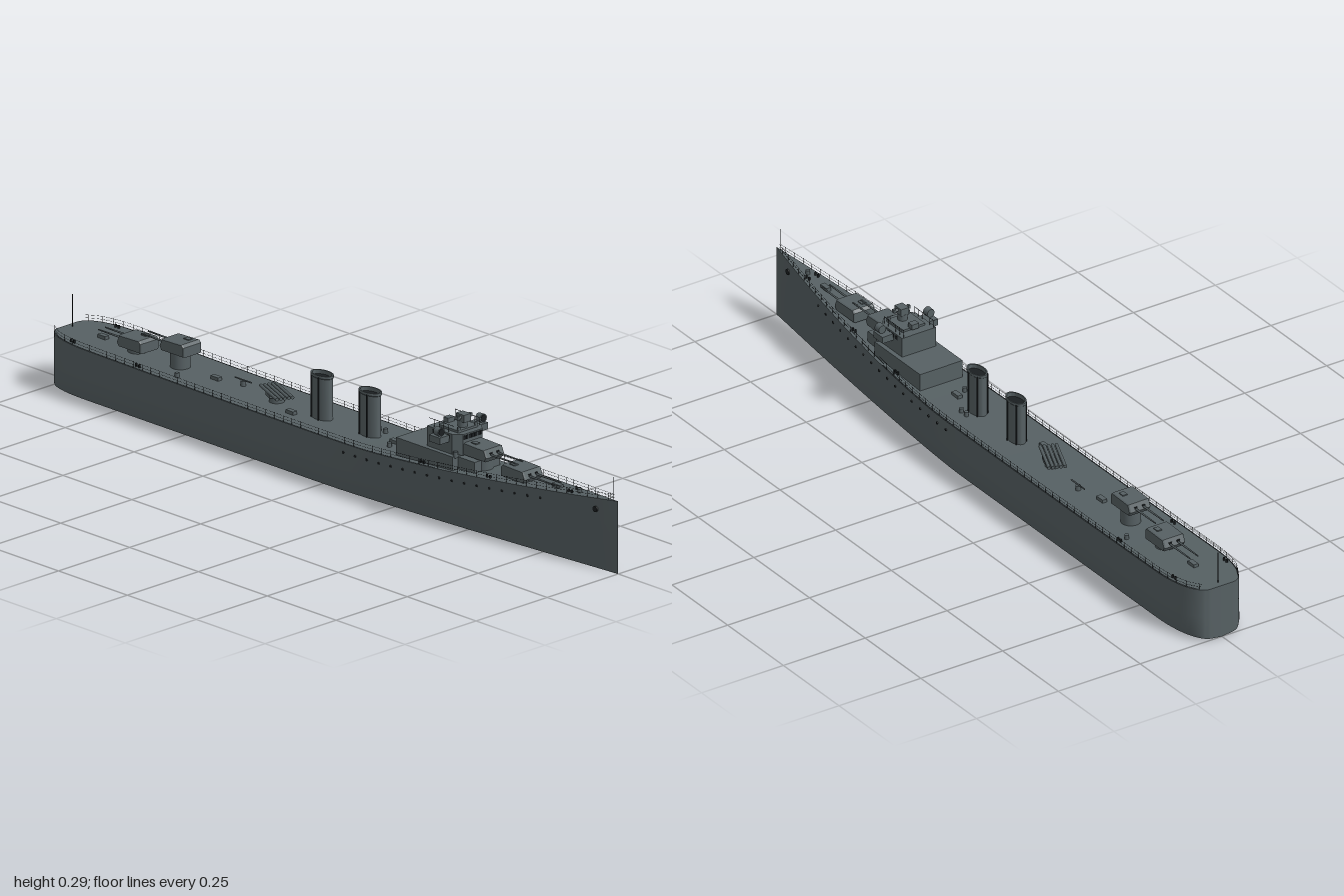
import * as THREE from 'three';
import { toCreasedNormals, mergeGeometries } from 'three/addons/utils/BufferGeometryUtils.js';

const mat = (name, color, side = THREE.FrontSide) => {
  const m = new THREE.MeshStandardMaterial({ color, side });
  m.name = name;
  return m;
};

// Deck height along the ship
const deckY = x => 0.14 + (x > 0.15 ? 0.055 * Math.pow((x - 0.15) / 0.85, 1.35) : 0.008 * Math.pow((0.15 - x) / 1.15, 2));

// Half breadth at x; level 0 is the bilge, 1 the deck
function breadth(x, level) {
  const full = 0.097 - 0.002 * level;
  if (x > 0.05) return full * (1 - Math.pow((x - 0.05) / 0.95, 1.3 + 0.5 * level));
  if (x < -0.83) {
    const t = Math.max(0, (-0.83 - x) / 0.17);
    return full * (0.36 + 0.64 * Math.sqrt(Math.max(0, 1 - Math.pow(t, 2.4))));
  }
  return full;
}

// Skin between cross-sections that all have the same number of points
function loft(sections, crease) {
  const n = sections[0].length, pos = [], idx = [];
  sections.forEach(s => s.forEach(p => pos.push(...p)));
  for (let i = 0; i < sections.length - 1; i++)
    for (let j = 0; j < n - 1; j++) {
      const a = i * n + j, b = a + n;
      idx.push(a, b, b + 1, a, b + 1, a + 1);
    }
  const g = new THREE.BufferGeometry();
  g.setAttribute('position', new THREE.Float32BufferAttribute(pos, 3));
  g.setIndex(idx);
  g.computeVertexNormals();
  return toCreasedNormals(g, crease);
}

export function createModel() {
  const ship = new THREE.Group();
  ship.name = 'warship';
  const grey = mat('hullGrey', 0x566063);
  const dark = mat('darkFittings', 0x1b1f21, THREE.DoubleSide);

  const add = (name, geo, material, x = 0, y = 0, z = 0, parent = ship) => {
    const m = new THREE.Mesh(geo, material);
    m.name = name;
    m.position.set(x, y, z);
    parent.add(m);
    return m;
  };
  const box = (name, w, h, d, x, y, z, material = grey, parent = ship) =>
    add(name, new THREE.BoxGeometry(w, h, d), material, x, y, z, parent);
  const post = (name, r, h, x, y, z, material = grey, parent = ship, sides = 16) =>
    add(name, new THREE.CylinderGeometry(r, r, h, sides), material, x, y + h / 2, z, parent);

  // Hull: stations packed towards the stern and bow
  const stations = [];
  for (let i = 0; i <= 72; i++) stations.push(-Math.cos(Math.PI * i / 72));
  const half = x => {
    const b = breadth(x, 0), d = deckY(x), k = 0.012 * b / 0.097;
    return [[0, 0], [b * 0.6, k * 0.6], [b * 0.96, k], [b, k + 0.01],
      [breadth(x, 0.3), 0.07], [breadth(x, 0.65), 0.105], [breadth(x, 1), d]];
  };
  const ring = x => {
    const h = half(x);
    return [...h.slice(1).reverse().map(([z, y]) => [x, y, -z]), ...h.map(([z, y]) => [x, y, z])];
  };
  const transom = ring(-1).map(([x, y]) => [x, y, 0]);
  add('hull', loft([transom, ...stations.map(ring)], 0.7), grey);
  add('deck', loft(stations.map(x => [1, 0, -1].map(s => [x, deckY(x), s * breadth(x, 1)])), 0.7), grey);

  // Deck edge gutters, railings and portholes on both sides
  const path = (s, a, b, up, n = 70) => new THREE.CatmullRomCurve3(Array.from({ length: n + 1 }, (_, i) => {
    const x = a + (b - a) * i / n;
    return new THREE.Vector3(x, deckY(x) + up, s * Math.max(0.001, breadth(x, 1) - 0.002));
  }));
  for (const s of [-1, 1]) {
    const edge = Array.from({ length: 50 }, (_, i) => -0.98 + i * 0.0284);
    add('gutter', loft(edge.map(x => {
      const b = breadth(x, 1);
      return [s * (b - (s > 0 ? 0 : 0.004)), s * (b - (s > 0 ? 0.004 : 0))].map(z => [x, deckY(x) + 0.0008, z]);
    }), 0.7), dark);
    const parts = [0.008, 0.016].map(up => new THREE.TubeGeometry(path(s, -0.99, 0.985, up), 140, 0.0004, 3));
    for (let x = -0.985; x < 0.99; x += 0.032)
      parts.push(new THREE.CylinderGeometry(0.0007, 0.0007, 0.017, 4)
        .translate(x, deckY(x) + 0.0085, s * Math.max(0.001, breadth(x, 1) - 0.002)));
    add('railing', mergeGeometries(parts), dark);
    for (let i = 0; i < 17; i++) {
      const x = 0.1 + i * 0.041, y = deckY(x) - 0.024;
      const port = add('porthole', new THREE.CylinderGeometry(0.0035, 0.0035, 0.004, 10), dark,
        x, y, s * (breadth(x, 0.75) + 0.0002));
      port.rotation.x = Math.PI / 2;
    }
    const hawse = add('anchorHawse', new THREE.CylinderGeometry(0.008, 0.008, 0.008, 12), dark, 0.93, 0.16, s * breadth(0.93, 0.8));
    hawse.rotation.x = Math.PI / 2;
    for (const x of [-0.9, -0.66, 0.36, 0.58, 0.84])
      for (const dx of [-0.006, 0.006]) post('bollard', 0.003, 0.008, x + dx, deckY(x), s * (breadth(x, 1) - 0.013), dark, ship, 8);
  }

  // Flag staffs
  post('sternStaff', 0.001, 0.088, -0.982, 0.147, 0, dark, ship, 6);
  post('bowStaff', 0.001, 0.062, 0.982, 0.193, 0, dark, ship, 6);

  // Funnels: oval casing, open rim and steam pipes
  for (const x of [-0.075, 0.1]) {
    const f = new THREE.Group();
    f.name = 'funnel';
    f.position.set(x, 0.139, 0);
    ship.add(f);
    const profile = [[0.033, 0], [0.033, 0.112], [0.036, 0.114], [0.036, 0.121], [0.031, 0.121], [0.031, 0.108], [0, 0.108]];
    const casing = add('casing', toCreasedNormals(new THREE.LatheGeometry(
      profile.map(p => new THREE.Vector2(...p)), 32), 0.6), grey, 0, 0, 0, f);
    casing.scale.z = 0.6;
    const cap = add('funnelMouth', new THREE.CircleGeometry(0.031, 24).rotateX(-Math.PI / 2), dark, 0, 0.11, 0, f);
    cap.scale.z = 0.6;
    for (const s of [-1, 1])
      for (const px of [-0.024, 0.008]) post('steamPipe', 0.002, 0.116, px, 0, s * (px < 0 ? 0.0155 : 0.021), dark, f, 8);
  }

  // Twin gun turrets, built facing +x
  const turret = (name, x, y, deck, turn) => {
    const t = new THREE.Group();
    t.name = name;
    t.position.set(x, y, 0);
    t.rotation.y = turn;
    ship.add(t);
    const side = new THREE.Shape([[-0.042, 0.004], [0.036, 0.004], [0.042, 0.014], [0.034, 0.032], [-0.036, 0.034], [-0.042, 0.028]]
      .map(p => new THREE.Vector2(...p)));
    add('gunhouse', new THREE.ExtrudeGeometry(side, { depth: 0.056, bevelThickness: 0.004, bevelSize: 0.002, bevelSegments: 1 }),
      grey, 0, 0, -0.028, t);
    post('barbette', 0.026, y - deck + 0.006, 0, deck - y, 0, grey, t, 24);
    box('hatch', 0.018, 0.004, 0.014, -0.016, 0.036, 0.012, grey, t);
    for (const s of [-1, 1]) {
      const gun = add('barrel', new THREE.CylinderGeometry(0.0018, 0.003, 0.095, 10), grey, 0.082, 0.019, s * 0.012, t);
      gun.rotation.z = -Math.PI / 2;
      box('gunPort', 0.002, 0.014, 0.009, 0.041, 0.018, s * 0.012, dark, t);
    }
  };
  turret('foreTurret', 0.65, 0.166, 0.158, 0);
  turret('raisedForeTurret', 0.51, 0.187, 0.148, 0);
  turret('raisedAftTurret', -0.59, 0.182, 0.142, Math.PI);
  turret('aftTurret', -0.745, 0.152, 0.143, Math.PI);

  // Deckhouse and bridge
  box('deckhouse', 0.205, 0.053, 0.13, 0.363, 0.1645, 0);
  box('forwardHouse', 0.07, 0.04, 0.09, 0.49, 0.167, 0);
  const plan = new THREE.Shape([[0.36, -0.052], [0.45, -0.052], [0.472, -0.034], [0.472, 0.034], [0.45, 0.052], [0.36, 0.052]]
    .map(p => new THREE.Vector2(...p)));
  add('bridge', new THREE.ExtrudeGeometry(plan, { depth: 0.056, bevelEnabled: false }).rotateX(-Math.PI / 2), grey, 0, 0.189, 0);
  box('bridgeRoof', 0.07, 0.006, 0.07, 0.42, 0.248, 0);
  for (let i = -3; i <= 3; i++) box('bridgeWindow', 0.002, 0.011, 0.008, 0.4722, 0.236, i * 0.0098, dark);
  for (const s of [-1, 1]) {
    for (let i = 0; i < 4; i++) box('sideWindow', 0.01, 0.01, 0.002, 0.385 + i * 0.017, 0.236, s * 0.0522, dark);
    // Bridge wings with searchlights
    box('bridgeWing', 0.04, 0.018, 0.034, 0.42, 0.231, s * 0.068);
    post('lampStand', 0.004, 0.012, 0.425, 0.239, s * 0.074);
    const lamp = add('searchlight', new THREE.CylinderGeometry(0.012, 0.011, 0.018, 20), grey, 0.425, 0.252, s * 0.074);
    lamp.rotation.z = -Math.PI / 2;
    const lens = add('searchlightLens', new THREE.CylinderGeometry(0.0095, 0.0095, 0.002, 20), dark, 0.4345, 0.252, s * 0.074);
    lens.rotation.z = -Math.PI / 2;
    // Bridge rails, lockers and lookout posts
    box('bridgeRail', 0.09, 0.001, 0.001, 0.405, 0.265, s * 0.046, dark);
    for (let i = 0; i < 6; i++) post('bridgeRailPost', 0.0007, 0.02, 0.362 + i * 0.0175, 0.245, s * 0.046, dark, ship, 4);
    post('lookout', 0.006, 0.016, 0.465, 0.187, s * 0.054);
    post('sight', 0.004, 0.014, 0.452, 0.245, s * 0.03);
  }

  // Gun director with a rangefinder
  post('directorBase', 0.013, 0.02, 0.435, 0.248, 0, grey, ship, 20);
  box('director', 0.03, 0.02, 0.024, 0.438, 0.276, 0);
  const finder = add('rangefinder', new THREE.CylinderGeometry(0.004, 0.004, 0.044, 12), grey, 0.44, 0.278, 0);
  finder.rotation.x = Math.PI / 2;
  for (const s of [-1, 1]) box('rangefinderEnd', 0.009, 0.009, 0.006, 0.44, 0.278, s * 0.022);
  box('chartTable', 0.018, 0.014, 0.022, 0.385, 0.256, 0);

  // Torpedo tubes, swung out from the centreline
  const bank = new THREE.Group();
  bank.name = 'torpedoTubes';
  bank.position.set(-0.24, 0.141, 0);
  bank.rotation.y = -0.4;
  ship.add(bank);
  post('mount', 0.02, 0.018, 0, 0, 0, grey, bank, 20);
  box('mountFrame', 0.03, 0.008, 0.05, 0, 0.019, 0, grey, bank);
  for (let i = -2; i <= 2; i++) {
    const tube = add('tube', new THREE.CylinderGeometry(0.0045, 0.0045, 0.115, 12), grey, 0, 0.026, i * 0.0105, bank);
    tube.rotation.z = Math.PI / 2;
  }

  // Small deck gun
  post('deckGunMount', 0.007, 0.014, -0.38, 0.141, -0.018);
  const gun = add('deckGun', new THREE.CylinderGeometry(0.0018, 0.0022, 0.06, 8), grey, -0.38, 0.157, -0.018);
  gun.rotation.z = Math.PI / 2;

  // Ventilators, lockers and hatches
  for (const [x, z] of [[0.095, -0.036], [0.118, -0.036], [-0.66, -0.06], [-0.54, 0.06], [0.2, 0.03]])
    post('ventilator', 0.006, 0.013, x, deckY(x) - 0.001, z);
  for (const [x, z] of [[-0.15, 0.036], [-0.46, 0], [-0.87, 0], [0.19, 0], [0.78, 0]])
    box('deckHatch', 0.028, 0.01, 0.014, x, deckY(x) + 0.004, z);
  post('capstan', 0.006, 0.012, 0.86, deckY(0.86) - 0.001, 0);
  return ship;
}
